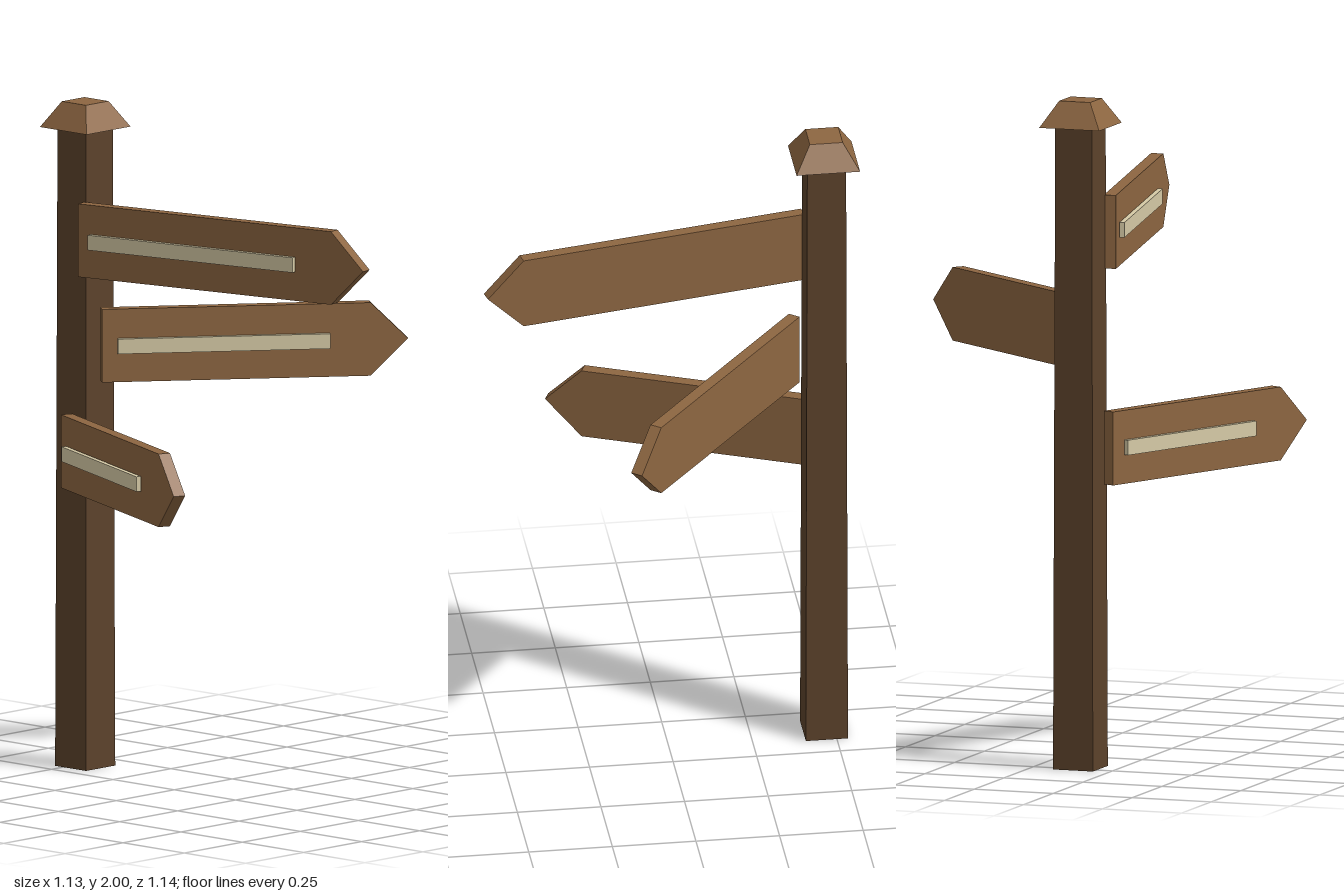
import * as THREE from 'three';

const mat = (color) => new THREE.MeshStandardMaterial({ color, flatShading: true });

// Square frustum standing on its base, given half-widths at top and bottom
function frustum(topHalf, bottomHalf, height) {
  const g = new THREE.CylinderGeometry(topHalf * Math.SQRT2, bottomHalf * Math.SQRT2, height, 4);
  g.rotateY(Math.PI / 4);
  g.translate(0, height / 2, 0);
  return g;
}

export function createModel() {
  const darkWood = mat(0x5c422b);
  const wood = mat(0x8d6641);
  const cream = mat(0xd6caa6);

  const model = new THREE.Group();
  model.name = 'signpost';
  const add = (parent, name, geometry, material, x, y, z) => {
    const mesh = new THREE.Mesh(geometry, material);
    mesh.name = name;
    mesh.position.set(x, y, z);
    parent.add(mesh);
    return mesh;
  };

  // Tapered post and its cap
  const px = -0.47, pz = 0.137;
  add(model, 'post', frustum(0.058, 0.063, 1.925), darkWood, px, 0, pz);
  add(model, 'postCap', frustum(0.049, 0.095, 0.077), wood, px, 1.923, pz);

  // Pointed direction boards, each with a raised strip on its front
  const halfHeight = 0.11, thickness = 0.037, point = 0.112;
  const boards = [
    { name: 'upperBoard', x: -0.417, y: 1.6, z: 0.21, length: 0.995, angle: 0.2 },
    { name: 'middleBoard', x: -0.384, y: 1.28, z: 0.159, length: 0.916, angle: 0.9 },
    { name: 'lowerBoard', x: -0.464, y: 0.96, z: 0.224, length: 0.833, angle: -0.4 },
  ];
  for (const { name, x, y, z, length, angle } of boards) {
    const sign = new THREE.Group();
    sign.name = name;
    sign.position.set(x, y, z);
    sign.rotation.y = angle;
    model.add(sign);

    const outline = new THREE.Shape([
      new THREE.Vector2(0, -halfHeight),
      new THREE.Vector2(length - point, -halfHeight),
      new THREE.Vector2(length, 0),
      new THREE.Vector2(length - point, halfHeight),
      new THREE.Vector2(0, halfHeight),
    ]);
    const plank = new THREE.ExtrudeGeometry(outline, { depth: thickness, bevelEnabled: false });
    add(sign, 'plank', plank, wood, 0, 0, -thickness / 2);

    const start = 0.045, end = length - 0.235;
    const strip = new THREE.BoxGeometry(end - start, 0.045, 0.015);
    add(sign, 'strip', strip, cream, (start + end) / 2, 0, 0.029);
  }

  return model;
}
